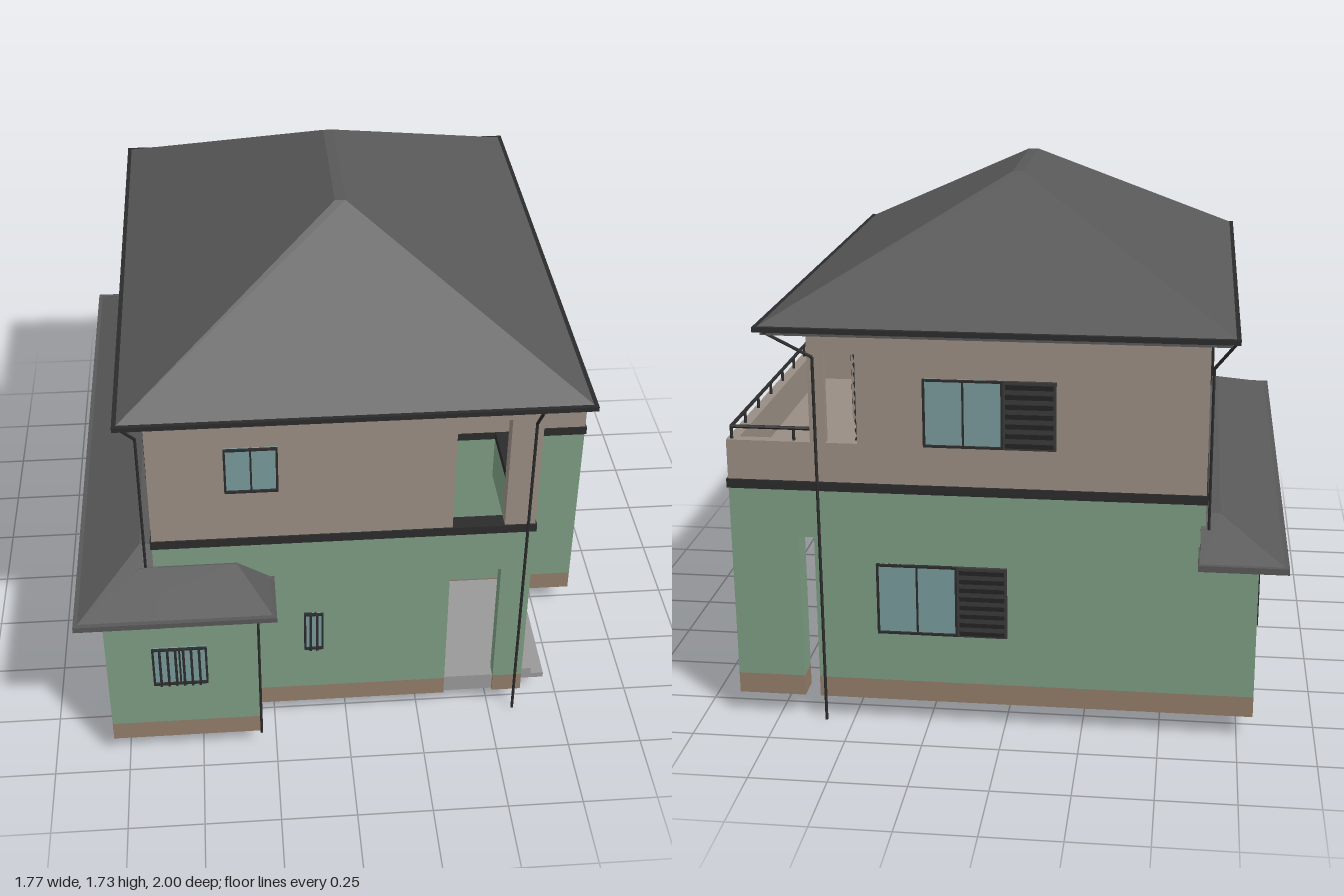
import * as THREE from 'three';

const mat = (color) => new THREE.MeshStandardMaterial({ color, flatShading: true });
const M = {
  green: mat(0x7d9c82), taupe: mat(0x998d83), base: mat(0x927c68), roof: mat(0x585858),
  trim: mat(0x2b2b2b), shutter: mat(0x3a3a3a), glass: mat(0x789a9b), step: mat(0x999999),
};

export function createModel() {
  const house = new THREE.Group();
  house.name = 'house';

  // Box given by its min and max corner on every axis
  function box(name, m, x0, x1, y0, y1, z0, z1, parent = house) {
    const mesh = new THREE.Mesh(new THREE.BoxGeometry(x1 - x0, y1 - y0, z1 - z0), m);
    mesh.position.set((x0 + x1) / 2, (y0 + y1) / 2, (z0 + z1) / 2);
    mesh.name = name;
    parent.add(mesh);
    return mesh;
  }

  // Straight rod between two points
  function rod(name, a, b, r = 0.005) {
    const p = new THREE.Vector3(...a), q = new THREE.Vector3(...b);
    const mesh = new THREE.Mesh(new THREE.CylinderGeometry(r, r, p.distanceTo(q), 6), M.trim);
    mesh.position.copy(p).lerp(q, 0.5);
    mesh.quaternion.setFromUnitVectors(new THREE.Vector3(0, 1, 0), q.sub(p).normalize());
    mesh.name = name;
    house.add(mesh);
  }

  // Hipped roof block: a box whose top rectangle is moved in
  function hip(name, y0, y1, bottom, top) {
    const g = new THREE.BoxGeometry(1, 1, 1);
    const p = g.attributes.position;
    for (let i = 0; i < p.count; i++) {
      const up = p.getY(i) > 0, r = up ? top : bottom;
      p.setXYZ(i, r[p.getX(i) > 0 ? 1 : 0], up ? y1 : y0, r[p.getZ(i) > 0 ? 3 : 2]);
    }
    g.computeVertexNormals();
    const mesh = new THREE.Mesh(g, M.roof);
    mesh.name = name;
    house.add(mesh);
  }

  // Group lying on a wall: local x along the wall, local z outwards
  const turn = { front: 0, right: Math.PI / 2, back: Math.PI, left: -Math.PI / 2 };
  function onWall(name, side, plane, u0, u1, y0, y1) {
    const g = new THREE.Group(), u = (u0 + u1) / 2;
    g.name = name;
    g.rotation.y = turn[side];
    if (side === 'front' || side === 'back') g.position.set(u, (y0 + y1) / 2, plane);
    else g.position.set(plane, (y0 + y1) / 2, u);
    house.add(g);
    return [g, Math.abs(u1 - u0) / 2, (y1 - y0) / 2];
  }

  function windowUnit(side, plane, u0, u1, y0, y1, panes = 2, bars = 0) {
    const [g, w, h] = onWall('window', side, plane, u0, u1, y0, y1);
    const t = 0.007;
    box('glass', M.glass, -w, w, -h, h, -0.005, 0.004, g);
    for (const s of [-1, 1]) {
      box('frameSide', M.trim, s * (w - t / 2) - t / 2, s * (w - t / 2) + t / 2, -h, h, -0.005, 0.012, g);
      box('frameRail', M.trim, -w, w, s * (h - t / 2) - t / 2, s * (h - t / 2) + t / 2, -0.005, 0.012, g);
    }
    for (let i = 1; i < panes; i++) {
      const x = -w + (2 * w * i) / panes;
      box('mullion', M.trim, x - 0.003, x + 0.003, -h, h, 0, 0.009, g);
    }
    for (let i = 1; i <= bars; i++) {
      const x = -w + (2 * w * i) / (bars + 1);
      box('guardBar', M.trim, x - 0.004, x + 0.004, -h, h, 0.008, 0.018, g);
    }
  }

  function shutter(side, plane, u0, u1, y0, y1) {
    const [g, w, h] = onWall('shutter', side, plane, u0, u1, y0, y1);
    box('panel', M.shutter, -w, w, -h, h, -0.005, 0.012, g);
    const n = Math.round(h * 2 / 0.03);
    for (let i = 0; i < n; i++) {
      const y = -h + (2 * h * (i + 0.5)) / n;
      const slat = box('slat', M.trim, -w + 0.008, w - 0.008, y - 0.009, y + 0.009, 0.012, 0.017, g);
      slat.rotation.x = 0.3;
    }
  }

  // Ground floor on its plinth: [x0, x1, z0, z1, wall top]
  const ground = [
    [-0.63, 0.34, -0.85, 0.80, 0.80], [0.34, 0.61, -0.85, 0.30, 0.80],
    [-0.80, -0.63, -0.85, 0.93, 0.64], [-0.63, -0.30, 0.80, 0.93, 0.64],
    [0.51, 0.61, 0.75, 0.80, 0.80],
    [0.66, 0.88, 0.24, 0.29, 0.64], [0.83, 0.88, -0.32, -0.15, 0.64], [0.66, 0.88, -0.85, -0.77, 0.64],
  ];
  for (const [x0, x1, z0, z1, top] of ground) {
    box('plinth', M.base, x0, x1, 0.08, 0.15, z0, z1);
    box('groundFloorWall', M.green, x0, x1, 0.15, top, z0, z1);
  }

  // Upper floor with the balcony alcove left open
  box('upperWall', M.taupe, -0.63, 0.34, 0.80, 1.33, -0.85, 0.80);
  box('upperWall', M.taupe, 0.34, 0.61, 0.80, 1.33, -0.23, 0.30);
  box('alcoveWall', M.taupe, 0.34, 0.46, 0.80, 1.33, -0.85, -0.23);
  box('alcoveLintel', M.taupe, 0.46, 0.61, 1.25, 1.33, -0.85, -0.23);
  box('alcoveColumn', M.taupe, 0.56, 0.61, 0.80, 1.25, -0.85, -0.82);
  box('alcoveParapet', M.taupe, 0.46, 0.61, 0.83, 0.96, -0.85, -0.82);

  // Two-storey entrance porch
  box('porchColumn', M.taupe, 0.51, 0.61, 0.80, 1.33, 0.75, 0.80);
  for (const [m, y0, y1] of [[M.green, 0.64, 0.80], [M.taupe, 1.25, 1.33]]) {
    box('porchFrontBeam', m, 0.34, 0.51, y0, y1, 0.75, 0.80);
    box('porchSideBeam', m, 0.56, 0.61, y0, y1, 0.30, 0.75);
  }
  box('porchFloor', M.step, 0.34, 0.61, 0.08, 0.145, 0.30, 0.75);
  box('porchFloorEdge', M.step, 0.34, 0.51, 0.08, 0.145, 0.75, 0.79);
  box('step', M.step, 0.61, 0.655, 0.08, 0.125, 0.30, 0.75);
  box('step', M.step, 0.655, 0.70, 0.08, 0.10, 0.30, 0.75);

  // Entrance door
  const [door, dw, dh] = onWall('door', 'right', 0.34, 0.65, 0.44, 0.15, 0.54);
  box('doorLeaf', M.shutter, -dw, dw, -dh, dh, -0.005, 0.012, door);
  for (const x of [-0.07, 0.015, 0.06])
    box('doorGlass', M.glass, x - 0.009, x + 0.009, -dh + 0.04, dh - 0.05, 0, 0.016, door);
  box('doorHandle', M.trim, -0.035, -0.025, -0.03, 0.06, 0.012, 0.025, door);

  // Dark band between the floors, open over the porch
  const outline = new THREE.Shape([
    [-0.635, -0.855], [0.885, -0.855], [0.885, 0.295], [0.615, 0.295], [0.615, 0.805], [-0.635, 0.805],
  ].map(([x, z]) => new THREE.Vector2(x, -z)));
  outline.holes.push(new THREE.Path([
    [0.34, 0.30], [0.34, 0.75], [0.56, 0.75], [0.56, 0.30],
  ].map(([x, z]) => new THREE.Vector2(x, -z))));
  const band = new THREE.Mesh(new THREE.ExtrudeGeometry(outline, { depth: 0.03, bevelEnabled: false }), M.trim);
  band.rotation.x = -Math.PI / 2;
  band.position.y = 0.80;
  band.name = 'floorBand';
  house.add(band);

  // Balcony: beams, ceiling, floor, parapet and handrail
  for (const [m, y0, y1] of [[M.green, 0.64, 0.80], [M.taupe, 0.83, 0.96]]) {
    const t = y0 > 0.8 ? 0.035 : 0.05;
    box('balconySide', m, 0.88 - t, 0.88, y0, y1, -0.85, 0.29);
    box('balconyEnd', m, 0.61, 0.88 - t, y0, y1, 0.29 - t, 0.29);
    box('balconyEnd', m, 0.61, 0.88 - t, y0, y1, -0.85, -0.85 + t);
  }
  box('balconyCeiling', M.green, 0.61, 0.84, 0.775, 0.799, -0.82, 0.26);
  box('balconyFloor', M.taupe, 0.46, 0.85, 0.82, 0.836, -0.82, 0.26);
  const rx = 0.865, zf = 0.28, zb = -0.835;
  rod('handrail', [rx, 1, zf], [rx, 1, zb], 0.006);
  for (const z of [zf, zb]) {
    rod('handrail', [0.61, 1, z], [rx, 1, z], 0.006);
    rod('railPost', [0.665, 0.95, z], [0.665, 1, z]);
  }
  for (let i = 0; i <= 7; i++) {
    const z = zf + (zb - zf) * i / 7;
    rod('railPost', [rx, 0.95, z], [rx, 1, z]);
  }

  // Main roof with eaves and gutter
  box('eaves', M.roof, -0.69, 0.73, 1.325, 1.355, -0.93, 0.875);
  box('gutter', M.trim, -0.715, 0.75, 1.338, 1.354, -0.95, 0.895);
  hip('mainRoof', 1.352, 1.73, [-0.705, 0.74, -0.94, 0.885], [0, 0.035, -0.28, 0.23]);

  // Low roof wrapping the side wing
  box('wingEaves', M.roof, -0.885, -0.61, 0.64, 0.66, -1, 1);
  box('wingEaves', M.roof, -0.885, -0.24, 0.641, 0.659, 0.78, 1);
  hip('wingRoof', 0.658, 0.755, [-0.875, -0.615, -0.99, 0.99], [-0.675, -0.615, -0.80, 0.72]);
  hip('wingFrontRoof', 0.657, 0.725, [-0.875, -0.25, 0.78, 0.99], [-0.675, -0.36, 0.78, 0.805]);

  // Windows and shutters
  windowUnit('front', 0.80, -0.39, -0.22, 1.02, 1.19);
  windowUnit('front', 0.93, -0.65, -0.47, 0.33, 0.49, 2, 6);
  windowUnit('front', 0.80, -0.145, -0.08, 0.33, 0.49, 1, 2);
  windowUnit('right', 0.61, 0.10, -0.15, 0.19, 0.60);
  shutter('right', 0.61, 0.24, 0.10, 0.19, 0.60);
  windowUnit('right', 0.61, -0.32, -0.64, 0.19, 0.60);
  shutter('right', 0.61, -0.64, -0.78, 0.19, 0.60);
  windowUnit('right', 0.61, 0.08, -0.18, 0.84, 1.18);
  shutter('right', 0.61, 0.23, 0.08, 0.84, 1.18);
  windowUnit('right', 0.46, -0.30, -0.64, 0.84, 1.24);
  shutter('right', 0.46, -0.64, -0.80, 0.84, 1.24);
  windowUnit('right', 0.34, 0.59, 0.53, 0.98, 1.19, 1);
  windowUnit('back', -0.85, 0.15, 0.41, 0.32, 0.56);
  shutter('back', -0.85, -0.01, 0.15, 0.32, 0.56);
  windowUnit('back', -0.85, 0, 0.25, 0.96, 1.18);
  shutter('back', -0.85, -0.165, 0, 0.96, 1.18);
  windowUnit('left', -0.80, -0.675, -0.40, 0.32, 0.57);
  windowUnit('left', -0.80, 0.235, 0.435, 0.38, 0.56, 2, 6);
  windowUnit('left', -0.80, 0.52, 0.735, 0.38, 0.56, 2, 6);
  windowUnit('left', -0.63, -0.06, 0.01, 0.95, 1.18, 1);
  windowUnit('left', -0.63, 0.21, 0.64, 0.95, 1.18, 3);

  // Downpipes, each joined to the gutter by a slanted piece
  const pipes = [
    [0.585, 0.81, 0, 1.24, 0.585, 0.885, 1.335], [0.59, -0.86, 0, 1.24, 0.72, -0.93, 1.335],
    [-0.655, 0.80, 0.72, 1.24, -0.70, 0.87, 1.335], [-0.64, -0.86, 0.72, 1.24, -0.70, -0.93, 1.335],
    [-0.30, 0.937, 0.08, 0.59, -0.27, 0.98, 0.645],
  ];
  for (const [x, z, y0, y1, gx, gz, gy] of pipes) {
    rod('downpipe', [x, y0, z], [x, y1, z]);
    rod('downpipeElbow', [x, y1, z], [gx, gy, gz]);
  }
  return house;
}
